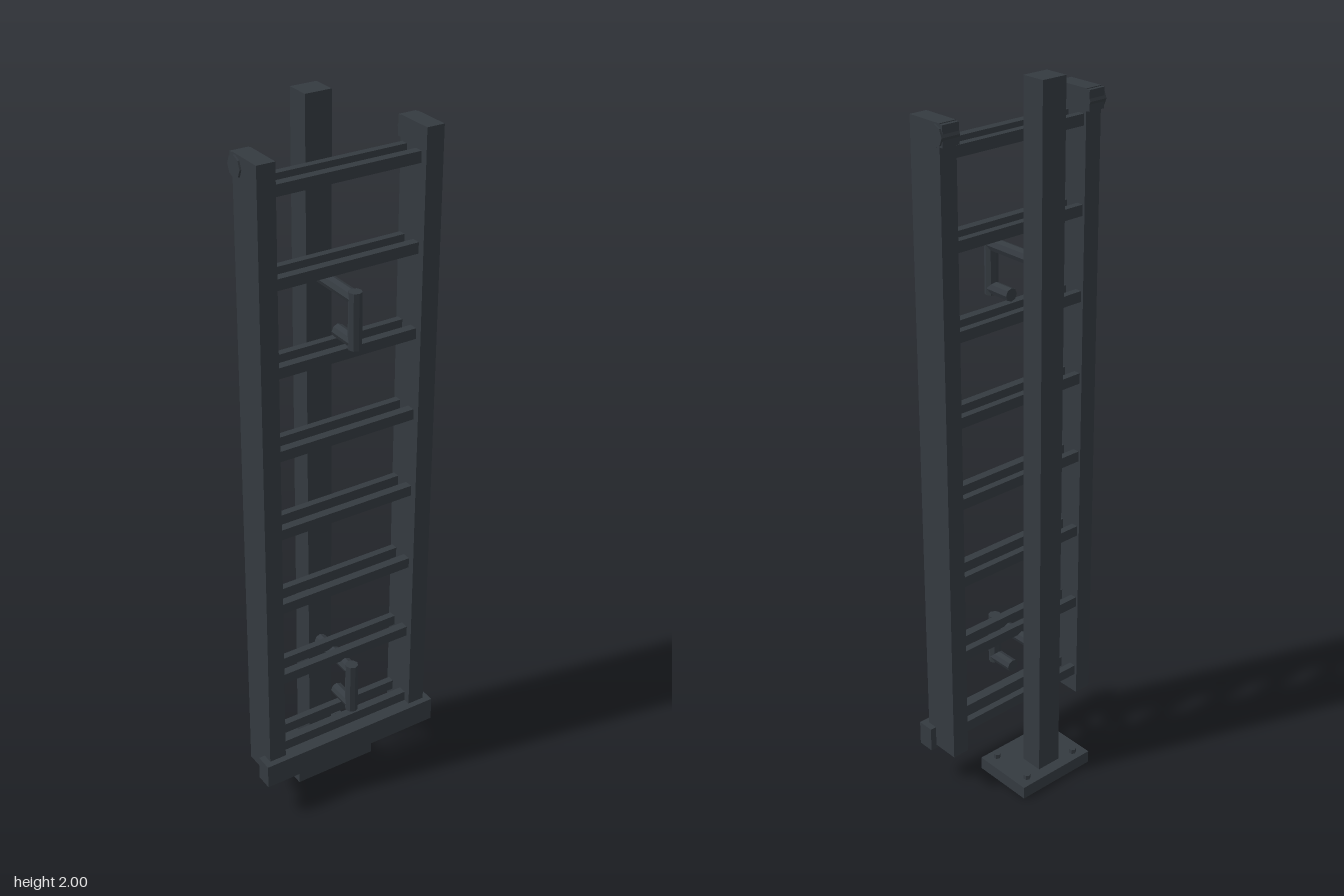
import * as THREE from 'three';

export function createModel() {
  const model = new THREE.Group();
  model.name = 'ladderStand';
  const steel = new THREE.MeshStandardMaterial({ color: 0x343a40 });
  steel.name = 'dark steel';

  const add = (geometry, name, parent = model) => {
    const mesh = new THREE.Mesh(geometry, steel);
    mesh.name = name;
    parent.add(mesh);
    return mesh;
  };
  // box given by its limits on each axis
  const box = (name, x0, x1, y0, y1, z0, z1, parent) => {
    const mesh = add(new THREE.BoxGeometry(x1 - x0, y1 - y0, z1 - z0), name, parent);
    mesh.position.set((x0 + x1) / 2, (y0 + y1) / 2, (z0 + z1) / 2);
    return mesh;
  };
  // faceted round bar between two points
  const bar = (name, a, b, radius, sides, parent) => {
    const from = new THREE.Vector3(...a), to = new THREE.Vector3(...b);
    const direction = to.clone().sub(from);
    const geometry = new THREE.CylinderGeometry(radius, radius, direction.length(), sides).toNonIndexed();
    geometry.computeVertexNormals();
    const mesh = add(geometry, name, parent);
    mesh.position.copy(from).add(to).multiplyScalar(0.5);
    mesh.quaternion.setFromUnitVectors(new THREE.Vector3(0, 1, 0), direction.normalize());
    return mesh;
  };

  // foot plate, bolts and post
  box('basePlate', -0.124, 0.124, 0, 0.037, -0.141, 0.042);
  for (const x of [-0.088, 0.088])
    for (const z of [-0.113, 0.014])
      bar('baseBolt', [x, 0.03, z], [x, 0.05, z], 0.01, 6);
  box('post', -0.037, 0.037, 0.03, 2, -0.108, -0.041);

  // side rails with a pivot at the top
  for (const s of [-1, 1]) {
    const rail = new THREE.Group();
    rail.name = s > 0 ? 'leftRail' : 'rightRail';
    model.add(rail);
    const inner = s * 0.207, outer = s * 0.257;
    const x0 = Math.min(inner, outer), x1 = Math.max(inner, outer);
    box('railBeam', x0, x1, 0.13, 1.918, 0, 0.108, rail);
    box('railCap', x0, x1, 1.862, 1.916, -0.011, 0.043, rail);
    bar('railPivot', [s * 0.207, 1.887, 0.014], [s * 0.262, 1.887, 0.014], 0.028, 8, rail);
  }

  // rungs, each a front and a back bar
  for (let i = 0; i < 8; i++) {
    const y = 0.205 + i * 0.2335;
    const rung = new THREE.Group();
    rung.name = 'rung';
    model.add(rung);
    box('rungFront', -0.21, 0.21, y - 0.015, y + 0.015, 0.064, 0.088, rung);
    box('rungBack', -0.21, 0.21, y - 0.015, y + 0.015, 0.007, 0.027, rung);
  }

  // crossbar at the bottom
  box('crossbar', -0.275, 0.275, 0.119, 0.19, 0.078, 0.126);

  // hooks reaching forward from the post
  for (const top of [1.555, 0.43]) {
    const hook = new THREE.Group();
    hook.name = 'hook';
    model.add(hook);
    const r = 0.018, z = 0.122, bottom = top - 0.153;
    bar('hookArm', [0, top - r, -0.05], [0, top - r, z], r, 8, hook);
    bar('hookLeg', [0, top, z], [0, bottom, z], r, 8, hook);
    bar('hookReturn', [0, bottom + r, z], [0, bottom + r, 0.045], r, 8, hook);
  }

  return model;
}
